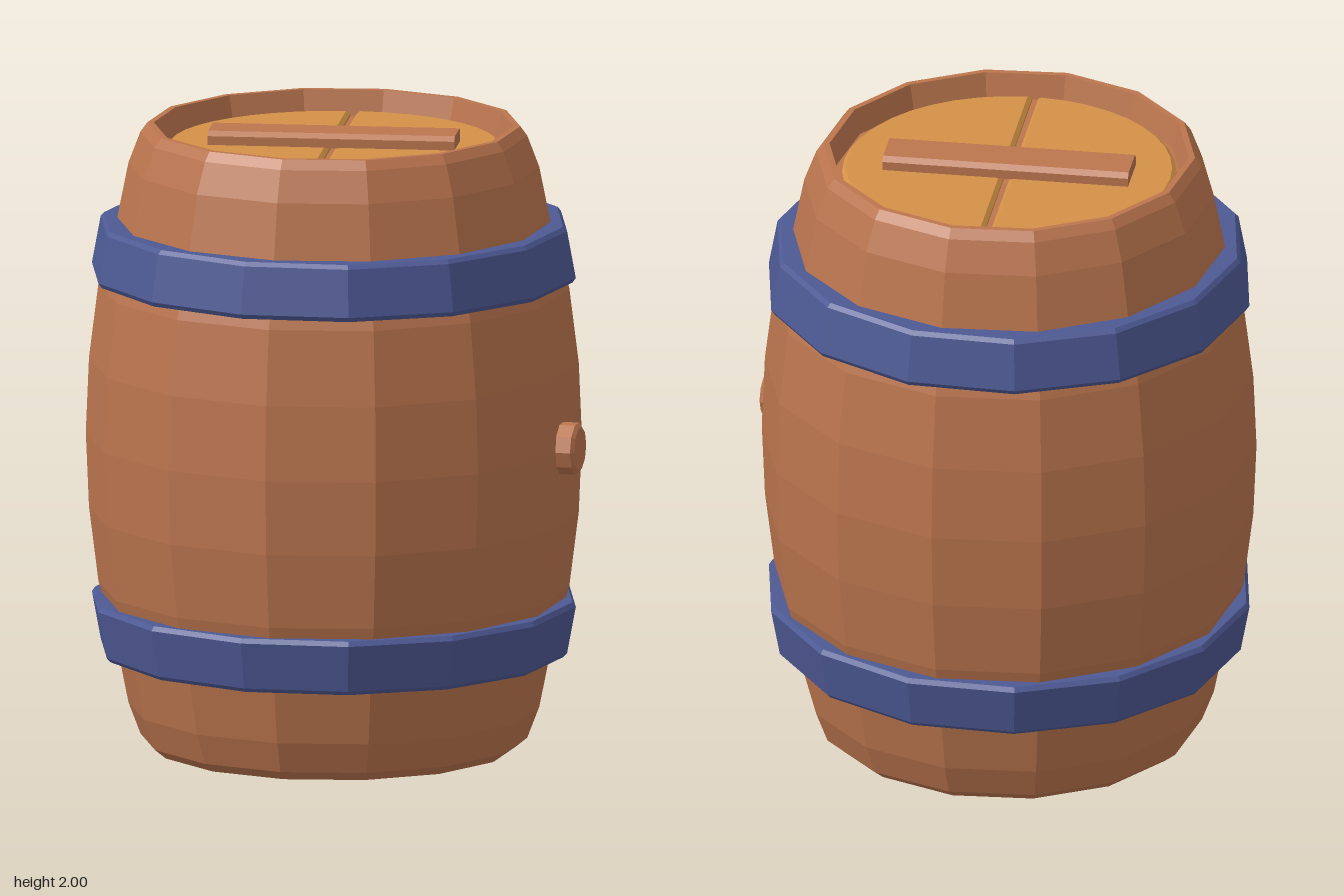
import * as THREE from 'three';

const SIDES = 14;
const AXIS_X = -0.016; // the bung sticks out, so the barrel axis sits slightly off centre

function flatMaterial(name, color) {
  const m = new THREE.MeshStandardMaterial({ color, flatShading: true });
  m.name = name;
  return m;
}

export function createModel() {
  const wood = flatMaterial('brown wood', 0xbb754e);
  const lidWood = flatMaterial('golden lid wood', 0xd39146);
  const metal = flatMaterial('blue hoop metal', 0x4d5994);

  const group = new THREE.Group();
  group.name = 'barrel';

  function add(name, geometry, material, x = AXIS_X, y = 0, z = 0) {
    const mesh = new THREE.Mesh(geometry, material);
    mesh.name = name;
    mesh.position.set(x, y, z);
    group.add(mesh);
    return mesh;
  }

  // Faceted ring or solid from [radius, height] points, turned by some degrees
  function lathe(points, degrees) {
    const profile = points.map(([r, y]) => new THREE.Vector2(r, y));
    return new THREE.LatheGeometry(profile, SIDES, THREE.MathUtils.degToRad(degrees));
  }

  // Body: bulging staves, symmetric about mid height, with a recessed top
  const lower = [[0.575, 0], [0.612, 0.03], [0.65, 0.13], [0.69, 0.33], [0.745, 0.52], [0.775, 0.76]];
  const upper = lower.slice(1).reverse().map(([r, y]) => [r, 2 - y]);
  const rim = [[0.59, 2], [0.57, 2], [0.55, 1.92], [0, 1.92]];
  add('body', lathe([[0, 0], ...lower, [0.785, 1], ...upper, ...rim], 93.6), wood);

  // Hoops: sloped bands with small chamfers, mirrored top to bottom
  const band = [[0.66, 1.515], [0.765, 1.515], [0.775, 1.53], [0.747, 1.68], [0.735, 1.693], [0.66, 1.693]];
  add('upperHoop', lathe(band, 87.3), metal);
  add('lowerHoop', lathe(band.map(([r, y]) => [r, 2 - y]).reverse(), 87.3), metal);

  // Lid: two bevelled half discs with a narrow gap
  const half = new THREE.Shape();
  const reach = Math.acos(0.022 / 0.515);
  half.absarc(0, 0, 0.515, -reach, reach, false);
  const lidGeometry = new THREE.ExtrudeGeometry(half, {
    depth: 0.016, curveSegments: 10, bevelSize: 0.013, bevelThickness: 0.012, bevelSegments: 1,
  });
  lidGeometry.rotateX(-Math.PI / 2);
  for (const [name, turn] of [['lidLeft', 0], ['lidRight', Math.PI]]) {
    add(name, lidGeometry, lidWood, AXIS_X, 1.912).rotation.y = turn;
  }

  // Crossbar on the lid, narrower at the top
  const section = new THREE.Shape([[-0.08, 0], [0.08, 0], [0.08, 0.03], [0.064, 0.045], [-0.064, 0.045], [-0.08, 0.03]]
    .map(([x, y]) => new THREE.Vector2(x, y)));
  const bar = new THREE.ExtrudeGeometry(section, { depth: 0.785, bevelEnabled: false });
  bar.translate(0, 0, -0.3925);
  bar.rotateY(Math.PI / 2);
  add('lidCrossbar', bar, wood, AXIS_X, 1.938);

  // Bung: chamfered ten-sided plug on the left side
  const plug = new THREE.LatheGeometry(
    [[0.083, -0.06], [0.083, 0.035], [0.07, 0.045], [0, 0.045]].map(([r, y]) => new THREE.Vector2(r, y)), 10);
  plug.rotateZ(-Math.PI / 2);
  add('bung', plug, wood, 0.744, 1.008, 0.17).rotation.y = -0.16;

  return group;
}
